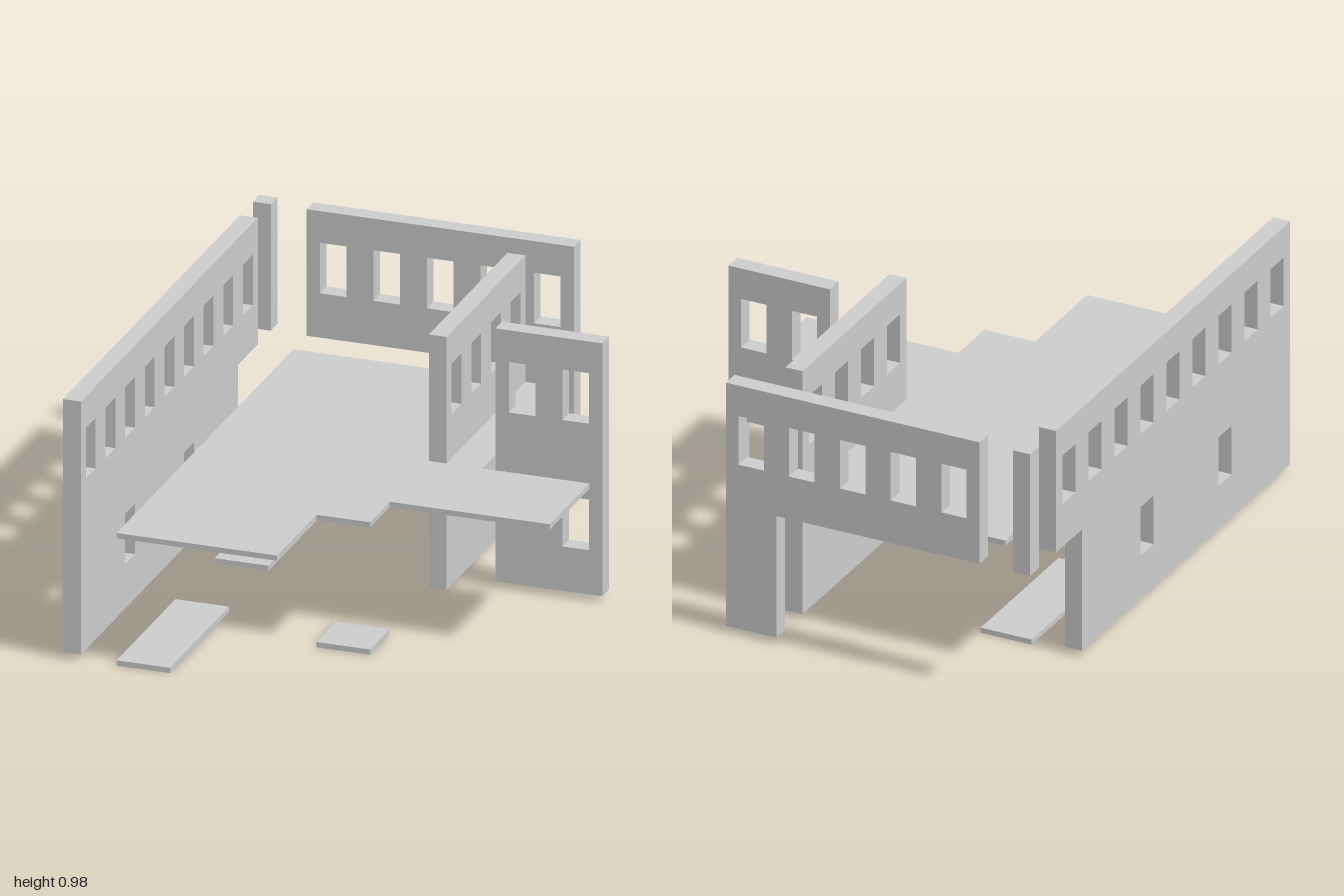
import * as THREE from 'three';

const material = new THREE.MeshStandardMaterial({ color: 0xcccccc, flatShading: true });

// Storey heights and shared sizes
const BASE = 0.023, UPPER = 0.503, TOP = 0.983;
const WALL = 0.067, SLAB = 0.02;
const SILL = 0.168, WIN_H = 0.192, WIN_W = 0.1;

function polygon(points) {
  return new THREE.Shape(points.map(([x, y]) => new THREE.Vector2(x, y)));
}

function extrude(shape, depth) {
  return new THREE.ExtrudeGeometry(shape, { depth, bevelEnabled: false });
}

// Window opening centred at u, on the storey starting at height floor
function cutWindow(shape, u, floor) {
  const a = u - WIN_W / 2, b = u + WIN_W / 2;
  const y0 = floor + SILL, y1 = y0 + WIN_H;
  shape.holes.push(new THREE.Path(
    [[a, y0], [a, y1], [b, y1], [b, y0]].map(([x, y]) => new THREE.Vector2(x, y))));
}

// Evenly spaced window centres
const row = (start, count) => Array.from({ length: count }, (_, i) => start + i * 0.2);

// Wall outline with windows, standing along x or along z
function addWall(group, { name, outline, upper = [], lower = [], alongZ = false, at }) {
  const shape = polygon(outline);
  upper.forEach((u) => cutWindow(shape, u, UPPER));
  lower.forEach((u) => cutWindow(shape, u, BASE));
  const mesh = new THREE.Mesh(extrude(shape, WALL), material);
  mesh.name = name;
  if (alongZ) {
    mesh.rotation.y = -Math.PI / 2;
    mesh.position.x = at + WALL;
  } else {
    mesh.position.z = at;
  }
  group.add(mesh);
}

const rect = (a, b) => [[a, BASE], [b, BASE], [b, TOP], [a, TOP]];

function addBox(group, name, [x0, x1], [y0, y1], [z0, z1]) {
  const mesh = new THREE.Mesh(new THREE.BoxGeometry(x1 - x0, y1 - y0, z1 - z0), material);
  mesh.name = name;
  mesh.position.set((x0 + x1) / 2, (y0 + y1) / 2, (z0 + z1) / 2);
  group.add(mesh);
}

export function createModel() {
  const model = new THREE.Group();
  model.name = 'buildingShell';

  // Long side wall, upper storey overhanging at the back
  addWall(model, {
    name: 'longSideWall', alongZ: true, at: -0.8,
    outline: [[-0.6, BASE], [1, BASE], [1, TOP], [-0.8, TOP], [-0.8, UPPER], [-0.6, UPPER]],
    upper: row(-0.7, 9), lower: [-0.1, 0.5],
  });

  // Back wall, carried on one solid leg
  addWall(model, {
    name: 'backWall', at: -1,
    outline: [[0.2, BASE], [0.4, BASE], [0.4, TOP], [-0.6, TOP], [-0.6, UPPER], [0.2, UPPER]],
    upper: row(-0.5, 5),
  });

  // Inner wall and short wing wall
  addWall(model, {
    name: 'innerWall', alongZ: true, at: 0.2,
    outline: rect(-0.8, 0), upper: row(-0.7, 4),
  });
  addWall(model, {
    name: 'wingWall', at: -0.2,
    outline: rect(0.4, 0.8), upper: row(0.5, 2), lower: [0.7],
  });

  // Upper corner post
  addBox(model, 'cornerPost', [-0.8, -0.8 + WALL], [UPPER, TOP], [-1, -1 + WALL]);

  // Stepped upper floor, outlined in x and -z
  const floor = new THREE.Mesh(extrude(polygon([
    [-0.6, -1], [0, -1], [0, -0.6], [0.2, -0.6], [0.2, -0.4],
    [0.8, -0.4], [0.8, 0], [0.4, 0], [0.4, 0.8], [-0.6, 0.8],
  ]), SLAB), material);
  floor.name = 'upperFloor';
  floor.rotation.x = -Math.PI / 2;
  floor.position.y = UPPER - SLAB;
  model.add(floor);

  // Ground plates
  addBox(model, 'frontGroundPlate', [-0.6, -0.4], [0, SLAB], [0.4, 1]);
  addBox(model, 'backGroundPlate', [-0.6, -0.4], [0, SLAB], [-0.6, 0]);
  addBox(model, 'smallGroundPlate', [0, 0.2], [0, SLAB], [0.4, 0.6]);

  return model;
}
